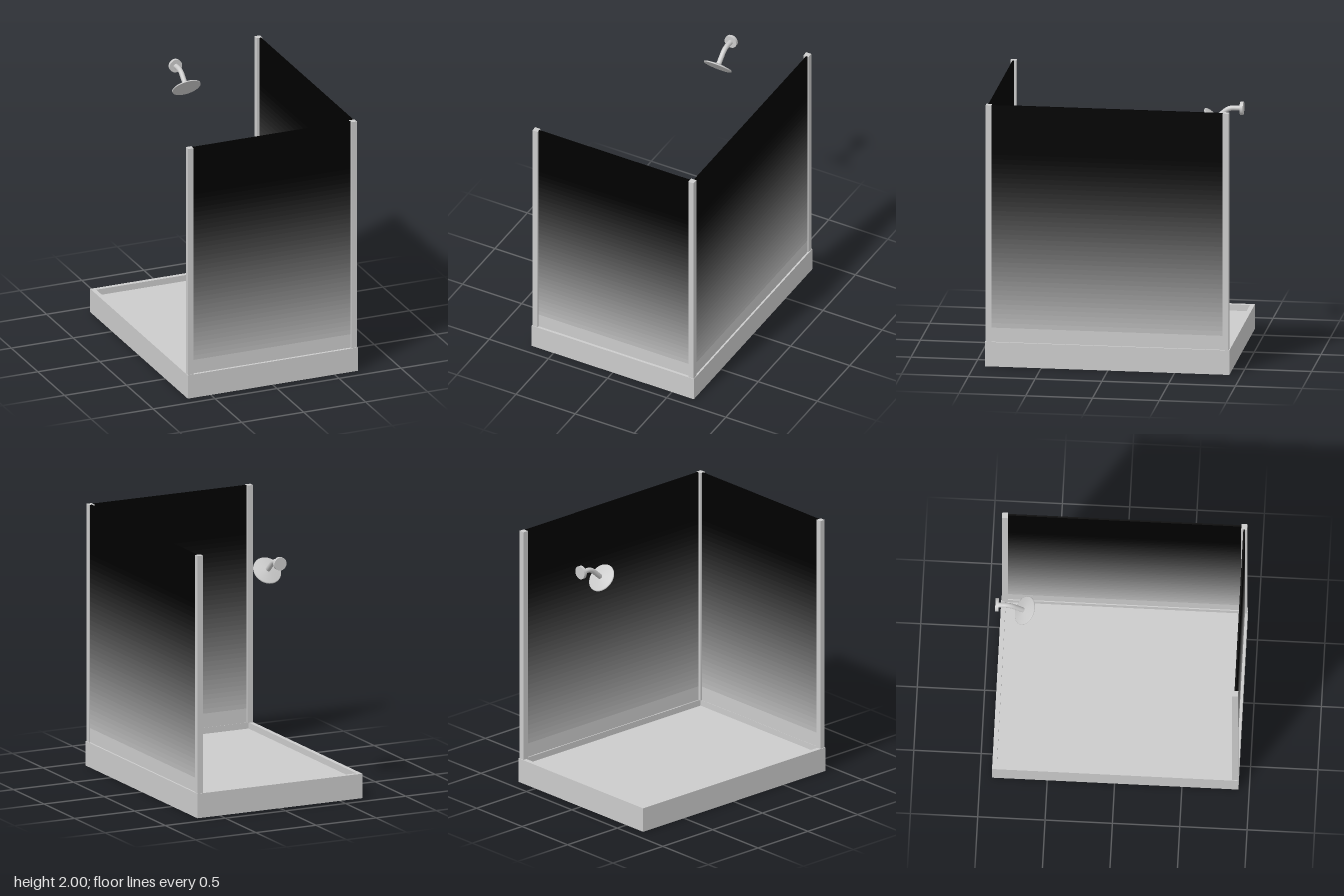
import * as THREE from 'three';

const material = new THREE.MeshStandardMaterial({ color: 0xcccccc });

function part(name, geometry, x = 0, y = 0, z = 0, mat = material) {
  const mesh = new THREE.Mesh(geometry, mat);
  mesh.name = name;
  mesh.position.set(x, y, z);
  return mesh;
}

// Closed rectangle on the XY plane
function rectangle(Type, w, d) {
  return new Type([
    new THREE.Vector2(-w / 2, -d / 2), new THREE.Vector2(w / 2, -d / 2),
    new THREE.Vector2(w / 2, d / 2), new THREE.Vector2(-w / 2, d / 2),
  ]);
}

// Base tray: a solid floor with a raised rim around it
function createTray(w, d, height, rim, recess) {
  const tray = new THREE.Group();
  tray.name = 'tray';
  const floorHeight = height - recess;
  const outline = rectangle(THREE.Shape, w, d);
  outline.holes.push(rectangle(THREE.Path, w - 2 * rim, d - 2 * rim));
  const rimGeometry = new THREE.ExtrudeGeometry(outline, { depth: height, bevelEnabled: false });
  rimGeometry.rotateX(-Math.PI / 2);
  tray.add(part('trayRim', rimGeometry));
  tray.add(part('trayFloor', new THREE.BoxGeometry(w - 2 * rim, floorHeight, d - 2 * rim), 0, floorHeight / 2, 0));
  return tray;
}

// Glass tint: horizontal bands from light grey at the bottom to black at fadeTop and above
function createTintBands(bottom, fadeTop, top, count) {
  const step = (fadeTop - bottom) / count;
  const bands = [];
  for (let i = 0; i < count; i++) {
    const shade = 0.8 * (1 - (i + 0.5) / count);
    const color = new THREE.Color().setRGB(shade, shade, shade, THREE.SRGBColorSpace);
    bands.push({ y: bottom + (i + 0.5) * step, height: step, material: new THREE.MeshStandardMaterial({ color }) });
  }
  bands.push({
    y: (fadeTop + top) / 2, height: top - fadeTop,
    material: new THREE.MeshStandardMaterial({ color: 0x000000 }),
  });
  return bands;
}

// Thin tinted panel stacked from the bands
function createPanel(name, w, d, x, z, bands) {
  const panel = new THREE.Group();
  panel.name = name;
  for (const band of bands) {
    panel.add(part('tintBand', new THREE.BoxGeometry(w, band.height, d), x, band.y, z, band.material));
  }
  return panel;
}

// Wall-mounted shower: flange, bent arm and tilted head
function createShower() {
  const shower = new THREE.Group();
  shower.name = 'shower';
  const y = 1.867;

  const flange = new THREE.CylinderGeometry(0.05, 0.05, 0.024, 32).rotateX(Math.PI / 2);
  shower.add(part('wallFlange', flange, 0, y, -0.908));

  const path = new THREE.CurvePath();
  const start = new THREE.Vector3(0, y, -0.9);
  const bendStart = new THREE.Vector3(0, y, -0.85);
  const corner = new THREE.Vector3(0, y, -0.81);
  const bendEnd = new THREE.Vector3(0, y - 0.027, -0.78);
  const end = new THREE.Vector3(0, y - 0.093, -0.706);
  path.add(new THREE.LineCurve3(start, bendStart));
  path.add(new THREE.QuadraticBezierCurve3(bendStart, corner, bendEnd));
  path.add(new THREE.LineCurve3(bendEnd, end));
  shower.add(part('arm', new THREE.TubeGeometry(path, 32, 0.019, 20, false)));

  // Shallow cone with a thin rim and a flat spray face
  const profile = [[0, -0.006], [0.108, -0.006], [0.11, -0.004], [0.11, 0.002], [0.105, 0.005], [0.025, 0.02], [0, 0.02]]
    .map(([r, h]) => new THREE.Vector2(r, h));
  const head = part('showerHead', new THREE.LatheGeometry(profile, 48), 0, 1.77, -0.702);
  head.rotation.x = -0.85;
  shower.add(head);
  return shower;
}

export function createModel() {
  const model = new THREE.Group();
  model.name = 'showerCabin';

  const trayTop = 0.187;
  const wallHeight = 2 - trayTop;
  const post = 0.044;
  const postX = 0.659;
  const zMid = 0.006;
  const postZ = 0.888;

  const tray = createTray(1.372, 1.83, trayTop, 0.034, 0.047);
  tray.position.z = 0.005;
  model.add(tray);

  // Corner posts
  const corners = [
    ['frontRightPost', -postX, zMid + postZ],
    ['frontLeftPost', postX, zMid + postZ],
    ['backLeftPost', postX, zMid - postZ],
  ];
  for (const [name, x, z] of corners) {
    model.add(part(name, new THREE.BoxGeometry(post, wallHeight, post), x, trayTop + wallHeight / 2, z));
  }

  // Tinted panels between the posts
  const glass = 0.012;
  const bands = createTintBands(trayTop, 1.62, 2, 40);
  model.add(createPanel('frontPanel', 2 * postX - post, glass, 0, zMid + postZ, bands));
  model.add(createPanel('sidePanel', glass, 2 * postZ - post, 0.666, zMid, bands));

  model.add(createShower());
  return model;
}
